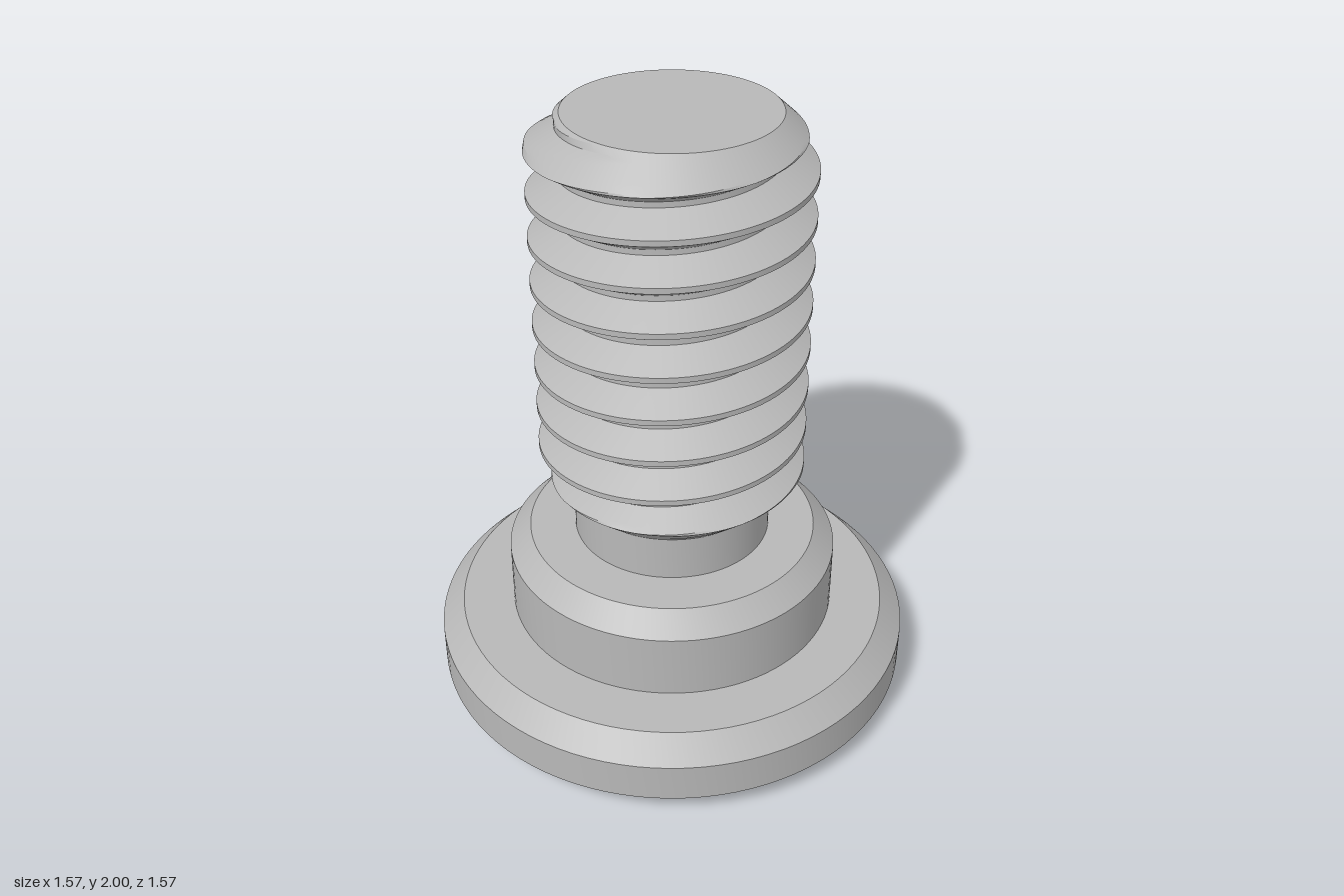
import * as THREE from 'three';
import { toCreasedNormals } from 'three/addons/utils/BufferGeometryUtils.js';

const SEG = 96, TAU = Math.PI * 2;
const PITCH = 0.142, CREST = 0.427, ROOT = 0.335, HALF_CREST = 0.009;
const NECK = 0.32, THREAD_LOW = 0.72, TOP = 2, FIRST_CREST = 0.542;

// Crease at full precision by working at a larger scale
function crease(geometry, angle) {
  geometry.scale(100, 100, 100);
  const result = toCreasedNormals(geometry, angle);
  result.scale(0.01, 0.01, 0.01);
  return result;
}

// Surface around the y axis: point(row, angle) returns [radius, height]
function surface(rows, point) {
  const pos = [], index = [];
  for (const row of rows) {
    for (let j = 0; j <= SEG; j++) {
      const a = (j / SEG) * TAU;
      const [r, y] = point(row, a);
      pos.push(r * Math.cos(a), y, -r * Math.sin(a));
    }
  }
  const w = SEG + 1;
  for (let i = 0; i < rows.length - 1; i++) {
    for (let j = 0; j < SEG; j++) {
      const a = i * w + j;
      index.push(a, a + 1, a + w, a + 1, a + w + 1, a + w);
    }
  }
  const g = new THREE.BufferGeometry();
  g.setAttribute('position', new THREE.Float32BufferAttribute(pos, 3));
  g.setIndex(index);
  return crease(g, 0.28);
}

// Radius of the helical thread, cut by a chamfer at each end
function threadRadius(y, a) {
  const t = (y - FIRST_CREST) / PITCH - a / TAU;
  const d = Math.abs(t - Math.round(t)) * PITCH;
  const r = THREE.MathUtils.clamp(CREST - (d - HALF_CREST) * Math.sqrt(3), ROOT, CREST);
  return Math.min(r, NECK + 1.1 * (TOP - y), NECK + 1.1 * (y - THREAD_LOW));
}

function threadGeometry() {
  const c = HALF_CREST / PITCH;
  const e = c + (CREST - ROOT) / Math.sqrt(3) / PITCH;
  const rows = [], steps = 8;
  for (let turn = 0; turn < 12; turn++) {
    for (let k = 0; k <= steps; k++) rows.push(turn + c + ((e - c) * k) / steps);
    for (let k = 0; k <= steps; k++) rows.push(turn + 1 - e + ((e - c) * k) / steps);
  }
  rows.push('cap');
  return surface(rows, (row, a) => {
    if (row === 'cap') return [0, TOP];
    const y = THREE.MathUtils.clamp(FIRST_CREST + PITCH * (row + a / TAU), THREAD_LOW, TOP);
    return [threadRadius(y, a), y];
  });
}

// Hexagonal socket with a countersunk rim
function socketGeometry(rim, apothem, depth) {
  const sixth = Math.PI / 3;
  return surface(['centre', 'floor', 'wall', 'rim'], (row, a) => {
    const h = apothem / Math.cos(((a + sixth / 2) % sixth) - sixth / 2);
    if (row === 'centre') return [0, depth];
    if (row === 'floor') return [h, depth];
    if (row === 'wall') return [h, rim - h];
    return [rim, 0];
  });
}

function lathe(points) {
  return crease(new THREE.LatheGeometry(points.map(([r, y]) => new THREE.Vector2(r, y)), SEG), 0.28);
}

export function createModel() {
  const steel = new THREE.MeshStandardMaterial({ color: 0xb8b8b8 });
  steel.name = 'steel grey';
  const group = new THREE.Group();
  group.name = 'shoulderBolt';
  const add = (name, geometry) => {
    const mesh = new THREE.Mesh(geometry, steel);
    mesh.name = name;
    group.add(mesh);
  };

  // Chamfered head, open at the socket
  add('head', lathe([[0.332, 0], [0.71, 0], [0.785, 0.08], [0.785, 0.21], [0.71, 0.285], [0.54, 0.285]]));
  add('hexSocket', socketGeometry(0.332, 0.284, 0.36));
  // Shoulder and undercut neck
  add('shoulder', lathe([[0.54, 0.285], [0.54, 0.5], [0.47, 0.57], [NECK, 0.57]]));
  add('neck', lathe([[NECK, 0.57], [NECK, THREAD_LOW]]));
  // Right-handed thread with flat end
  add('thread', threadGeometry());
  return group;
}
